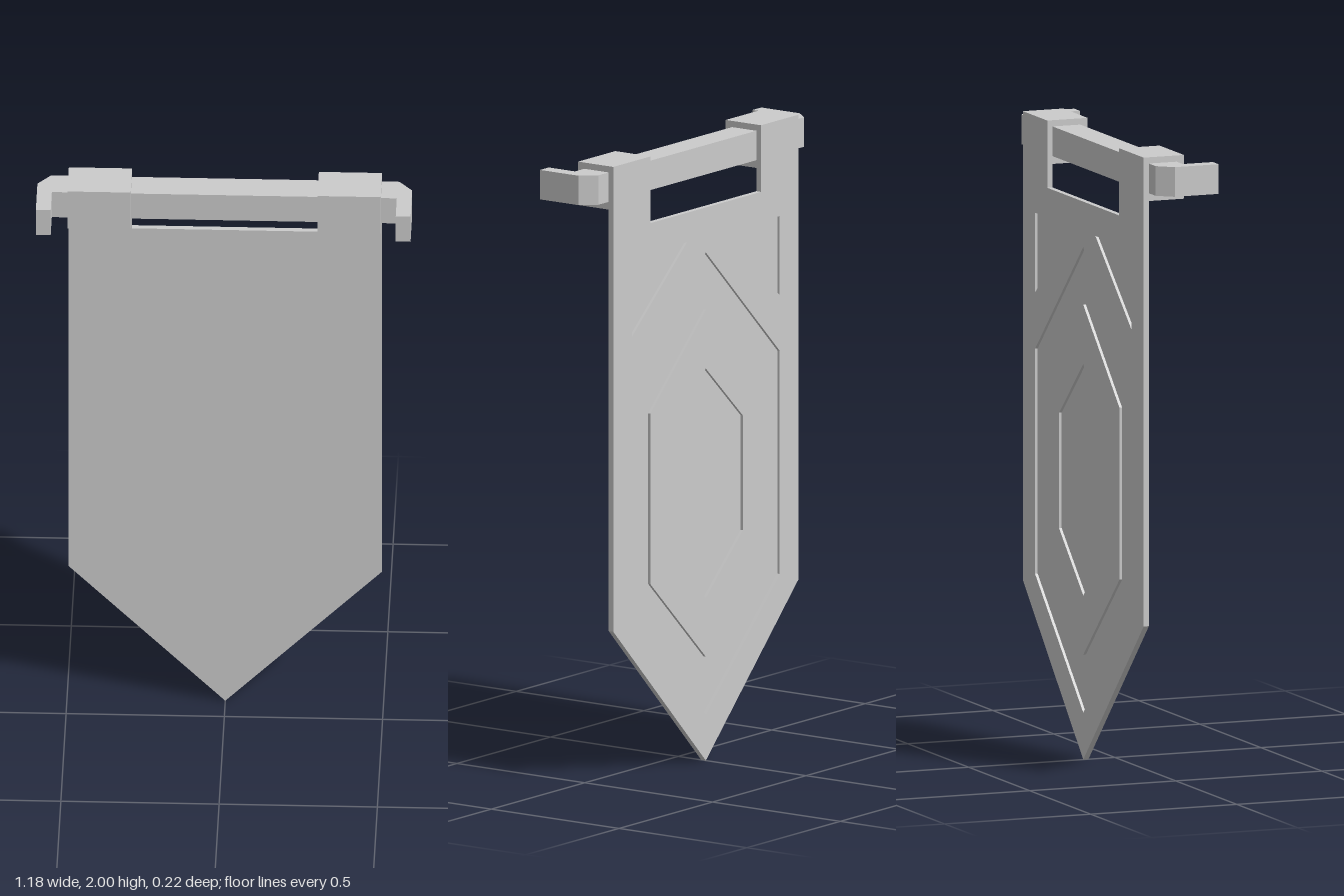
import * as THREE from 'three';

const material = new THREE.MeshStandardMaterial({ color: 0xcccccc, flatShading: true });

const toVectors = (points) => points.map(([x, y]) => new THREE.Vector2(x, y));

// Closed outline mirrored across x = 0 from its +x half (listed bottom to top)
const mirrored = (half) => [
  ...half,
  ...half.filter(([x]) => x > 0).reverse().map(([x, y]) => [-x, y]),
];

// Upright hexagon: half width, half height of its straight sides, half height of its tips
const hexagon = (w, side, tip, cy = 0.895) => mirrored([
  [0, cy - tip], [w, cy - side], [w, cy + side], [0, cy + tip],
]);

function slab(name, outline, holes, z0, z1) {
  const shape = new THREE.Shape(toVectors(outline));
  shape.holes = holes.map((h) => new THREE.Path(toVectors(h)));
  const geometry = new THREE.ExtrudeGeometry(shape, { depth: z1 - z0, bevelEnabled: false });
  geometry.translate(0, 0, z0);
  const mesh = new THREE.Mesh(geometry, material);
  mesh.name = name;
  return mesh;
}

export function createModel() {
  const model = new THREE.Group();
  model.name = 'hangingBanner';
  const back = -0.108, floor = -0.099, front = -0.09;

  // Cloth: pointed at the bottom, notched between the two hanging tabs
  const outline = mirrored([
    [0, 0], [0.495, 0.5], [0.495, 2], [0.295, 2], [0.295, 1.785],
  ]);
  const outerHex = hexagon(0.395, 0.36, 0.745);
  const middleHex = hexagon(0.297, 0.275, 0.56);
  const innerHex = hexagon(0.198, 0.185, 0.37);
  const corners = [1, -1].map((s) => [[0.395 * s, 1.69], [0.1 * s, 1.69], [0.395 * s, 1.435]]);

  // The back carries sunken triangles and nested hexagons
  const cloth = new THREE.Group();
  cloth.name = 'cloth';
  cloth.add(
    slab('clothFront', outline, [], floor, front),
    slab('clothBackRelief', outline, [outerHex, ...corners], back, floor),
    slab('hexagonRing', middleHex, [innerHex], back, floor),
  );
  model.add(cloth);

  // Square pole, with chamfered corners and ends bent forward; drawn as (x, -z)
  const poleHalf = [
    [0.545, -0.005], [0.545, -0.108], [0.592, -0.108], [0.592, 0.042], [0.55, 0.09],
  ];
  const pole = slab('pole', mirrored(poleHalf), [], 1.885, 1.98);
  pole.geometry.rotateX(-Math.PI / 2);
  model.add(pole);

  // Cloth loops folded over the pole
  for (const [name, s] of [['leftLoop', 1], ['rightLoop', -1]]) {
    const loop = new THREE.Mesh(new THREE.BoxGeometry(0.2, 0.14, 0.12), material);
    loop.name = name;
    loop.position.set(0.395 * s, 1.93, -0.03);
    model.add(loop);
  }
  return model;
}
